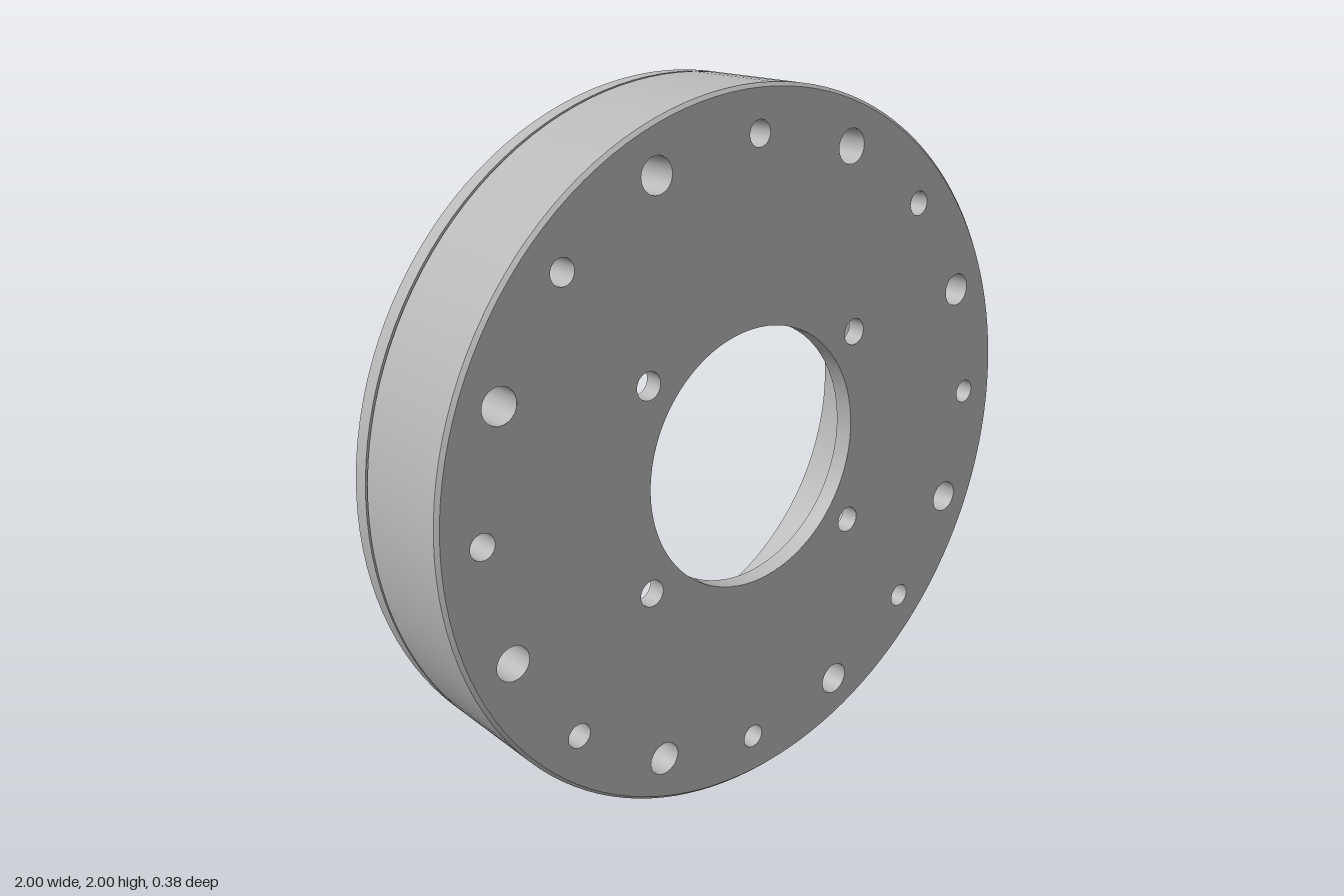
import * as THREE from 'three';

const FRONT = 0.19, BACK = -0.19, FLOOR = 0.135;
const BORE = 0.37, POCKET = 0.65, BOLT_CIRCLE = 0.876;

// Evenly spaced hole centres on a circle
function ring(count, radius, start) {
  return Array.from({ length: count }, (_, i) => {
    const a = start + (i * Math.PI * 2) / count;
    return [radius * Math.cos(a), radius * Math.sin(a)];
  });
}

export function createModel() {
  const model = new THREE.Group();
  model.name = 'flangeRing';
  const steel = new THREE.MeshStandardMaterial({ color: 0xb8b8b8 });
  steel.name = 'machined grey';

  const add = (parent, name, geometry) => {
    const mesh = new THREE.Mesh(geometry, steel);
    mesh.name = name;
    parent.add(mesh);
    return mesh;
  };

  // Surface turned about z from [radius, z] points, with a sharp edge at each point.
  // Rising z faces outward, falling z faces inward.
  const turned = (name, profile, segments, x = 0, y = 0) => {
    const group = new THREE.Group();
    group.name = name;
    group.position.set(x, y, 0);
    for (let i = 0; i < profile.length - 1; i++) {
      const points = [profile[i], profile[i + 1]].map(([r, z]) => new THREE.Vector2(r, z));
      add(group, name + 'Surface', new THREE.LatheGeometry(points, segments).rotateX(Math.PI / 2));
    }
    body.add(group);
  };

  // Flat disc pierced by holes given as [x, y, radius]
  const plate = (name, radius, holes, z, facesBack) => {
    const shape = new THREE.Shape().absarc(0, 0, radius, 0, Math.PI * 2);
    for (const [x, y, r] of holes) {
      shape.holes.push(new THREE.Path().absarc(x, y, r, 0, Math.PI * 2, true));
    }
    const mesh = add(body, name, new THREE.ShapeGeometry(shape, 64));
    mesh.position.z = z;
    if (facesBack) mesh.rotation.y = Math.PI;
  };

  const body = new THREE.Group();
  body.name = 'body';
  body.position.y = 1;
  model.add(body);

  // Hole patterns
  const screws = ring(8, BOLT_CIRCLE, 0);
  const bolts = ring(8, BOLT_CIRCLE, Math.PI / 8);
  const pins = [[0.37, 0.288], [-0.37, 0.288], [-0.37, -0.288], [0.37, -0.288]];
  const sized = (centres, r) => centres.map(([x, y]) => [x, y, r]);

  // Flat faces
  const centre = [0, 0, BORE];
  plate('frontFace', 0.99, [centre, ...sized(screws, 0.035), ...sized(bolts, 0.048), ...sized(pins, 0.038)], FRONT, false);
  plate('pocketFloor', POCKET, [centre, ...sized(pins, 0.038)], FLOOR, true);
  plate('backFace', 0.996, [[0, 0, POCKET], ...sized(screws, 0.082), ...sized(bolts, 0.082)], BACK, true);

  // Rim with a thin groove and chamfered edges
  turned('outerRim', [
    [0.996, BACK], [1, -0.186], [1, -0.138], [0.988, -0.138], [0.988, -0.128],
    [1, -0.128], [1, 0.18], [0.99, FRONT],
  ], 128);

  // Central bore and the grooved pocket behind it
  turned('centreBore', [[BORE, FRONT], [BORE, FLOOR]], 96);
  turned('pocketWall', [
    [POCKET, FLOOR], [POCKET, 0.04], [0.7, 0.04], [0.7, -0.03], [POCKET, -0.03], [POCKET, BACK],
  ], 128);

  // Hole walls
  for (const [x, y] of pins) turned('pinHole', [[0.038, FRONT], [0.038, FLOOR]], 32, x, y);
  for (const [x, y] of bolts) {
    turned('boltHole', [[0.048, FRONT], [0.048, -0.04], [0.082, -0.04], [0.082, BACK]], 32, x, y);
  }
  for (const [x, y] of screws) {
    turned('countersunkHole', [
      [0.035, FRONT], [0.035, -0.1], [0.044, -0.1], [0.044, -0.13], [0.052, -0.13], [0.082, BACK],
    ], 32, x, y);
  }
  return model;
}
